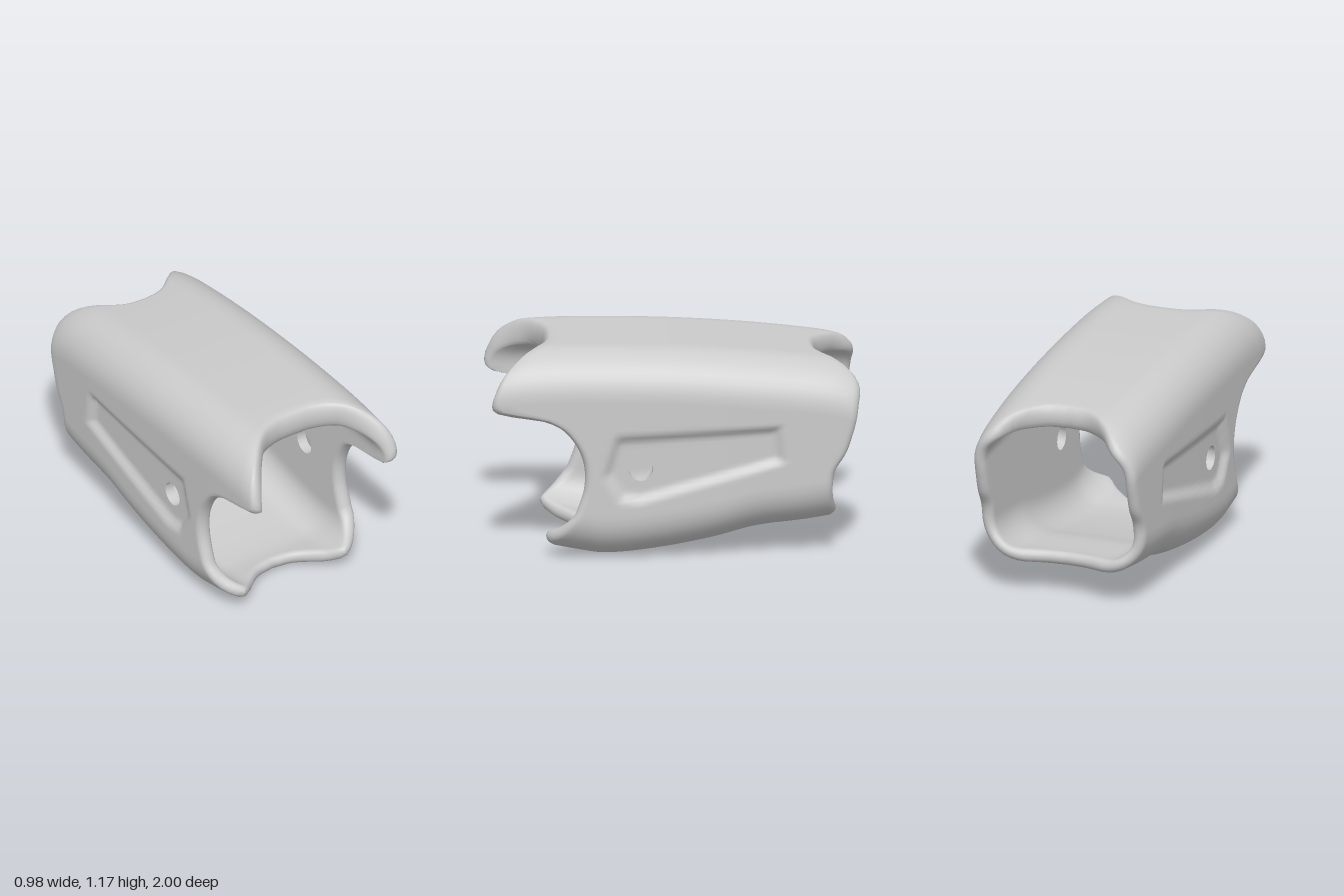
import * as THREE from 'three';
import { toCreasedNormals } from 'three/addons/utils/BufferGeometryUtils.js';

const { lerp, smoothstep } = THREE.MathUtils;

// Smooth curve through [x, y] keys (cubic Hermite)
function keyed(keys) {
  const slope = (i) => {
    const a = keys[Math.max(i - 1, 0)], b = keys[Math.min(i + 1, keys.length - 1)];
    return (b[1] - a[1]) / (b[0] - a[0]);
  };
  return (x) => {
    if (x <= keys[0][0]) return keys[0][1];
    if (x >= keys[keys.length - 1][0]) return keys[keys.length - 1][1];
    let i = 0;
    while (x > keys[i + 1][0]) i++;
    const [x0, y0] = keys[i], [x1, y1] = keys[i + 1], h = x1 - x0, t = (x - x0) / h;
    const t2 = t * t, t3 = t2 * t;
    return (2 * t3 - 3 * t2 + 1) * y0 + (t3 - 2 * t2 + t) * h * slope(i)
      + (3 * t2 - 2 * t3) * y1 + (t3 - t2) * h * slope(i + 1);
  };
}

// Side profile of the shell, along z
const topY = keyed([[-1, 1.03], [-0.9, 1.07], [-0.77, 1.095], [-0.4, 1.135], [0, 1.163], [0.4, 1.175], [0.7, 1.175], [1, 1.155]]);
const bottomY = keyed([[-0.87, 0.2], [-0.7, 0.175], [-0.5, 0.155], [-0.4, 0.138], [-0.2, 0.085], [0.1, 0.03], [0.38, 0.005], [0.55, 0.03], [0.7, 0.06]]);
const halfWidth = keyed([[-1, 0.47], [-0.5, 0.487], [0, 0.492], [0.5, 0.49], [1, 0.48]]);

// Scalloped ends. s runs over the half section:
// 0-1 top, 1-2 upper corner, 2-3 side, 3-4 lower corner, 4-5 bottom
const frontZ = keyed([[0, 0.7], [0.5, 0.71], [1, 0.765], [1.3, 0.86], [1.6, 0.95], [1.85, 0.99], [2.02, 1], [2.08, 0.96], [2.13, 0.84],
  [2.18, 0.72], [2.28, 0.61], [2.5, 0.515], [2.75, 0.5], [3, 0.55], [3.3, 0.62], [3.6, 0.69], [3.75, 0.7], [4, 0.63], [4.5, 0.53], [5, 0.5]]);
const backZ = keyed([[0, -0.77], [0.5, -0.79], [1, -0.88], [1.3, -0.98], [1.5, -1], [1.75, -0.99], [2, -0.98], [2.3, -0.955],
  [2.6, -0.92], [2.85, -0.865], [3, -0.85], [3.3, -0.85], [3.7, -0.87], [4, -0.85], [4.5, -0.81], [5, -0.795]]);

// Outline (z, y) of the wedge-shaped recess on each side
const recess = [[0.38, 0.5], [0.32, 0.7], [-0.55, 0.745], [-0.57, 0.57], [0.2, 0.36], [0.3, 0.37]];
function recessDepth(z, y) {
  let d = 1;
  recess.forEach(([az, ay], i) => {
    const [bz, by] = recess[(i + 1) % recess.length];
    const ez = bz - az, ey = by - ay;
    d = Math.min(d, (ez * (y - ay) - ey * (z - az)) / Math.hypot(ez, ey));
  });
  return 0.032 * smoothstep(d, -0.03, 0.03);
}

// Rounded-rectangle half section
function section(s, w, top, bottom, r) {
  const a = (s % 1) * Math.PI / 2;
  if (s < 1) return [s * (w - r), top];
  if (s < 2) return [w - r + r * Math.sin(a), top - r + r * Math.cos(a)];
  if (s < 3) return [w, lerp(top - r, bottom + r, s - 2)];
  if (s < 4) return [w - r + r * Math.cos(a), bottom + r - r * Math.sin(a)];
  return [(5 - s) * (w - r), bottom];
}

function outer(s, z) {
  let [x, y] = section(s, halfWidth(z), topY(z), bottomY(z), 0.25);
  if (s > 1.9 && s < 3.3) x -= recessDepth(z, y);
  if (s > 3.5) { // round dimple underneath
    const d = Math.hypot(x, z + 0.03);
    y += 0.03 * (1 - smoothstep(d, 0.12, 0.22)) + 0.03 * (1 - smoothstep(d, 0.05, 0.1));
  }
  return [x, y];
}

function inner(s, z) {
  const p = section(s, 0.405, 0.993 + 0.037 * z, bottomY(z) + 0.075, 0.16);
  // Line the inner wall up with the outer one so the holes go straight through
  if (s >= 2 && s < 3) {
    const o = section(s, 1, topY(z), bottomY(z), 0.25);
    p[1] = lerp(p[1], o[1], smoothstep(s, 2, 2.35) * (1 - smoothstep(s, 2.8, 3)));
  }
  return p;
}

function shellGeometry() {
  // Stations around the section, mirrored to the -x side
  const half = [];
  [10, 10, 28, 10, 10].forEach((n, k) => { for (let i = 0; i < n; i++) half.push(k + i / n); });
  const stations = [...half.map((s) => [s, 1]), [5, 1], ...half.slice(1).reverse().map((s) => [s, -1])];
  const S = stations.length;

  const CORE = 48, END = 6, RIM = 8, bulge = 0.035;
  const N = CORE + 1 + 2 * END, LOOP = 2 * N + 2 * (RIM - 1);
  const rowZ = (s, j) => {
    if (j < END) return lerp(backZ(s) + bulge, -0.7, j / END);
    if (j > END + CORE) return lerp(0.42, frontZ(s) - bulge, (j - END - CORE) / END);
    return lerp(-0.7, 0.42, (j - END) / CORE);
  };
  const innerRow = (j) => N + RIM - 1 + N - 1 - j;

  // Closed loops: outer wall, front rim, inner wall, back rim
  const pts = [];
  for (const [s, side] of stations) {
    const add = ([x, y], z) => pts.push([x * side, y, z]);
    const rim = (end, dir, from, to) => {
      for (let k = 1; k < RIM; k++) {
        const a = Math.PI * k / RIM, z = end + dir * bulge * (Math.sin(a) - 1);
        const p = from(s, z), q = to(s, z), t = (1 - Math.cos(a)) / 2;
        add([lerp(p[0], q[0], t), lerp(p[1], q[1], t)], z);
      }
    };
    for (let j = 0; j < N; j++) add(outer(s, rowZ(s, j)), rowZ(s, j));
    rim(frontZ(s), 1, outer, inner);
    for (let j = N - 1; j >= 0; j--) add(inner(s, rowZ(s, j)), rowZ(s, j));
    rim(backZ(s), -1, inner, outer);
  }
  const id = (i, j) => ((i + S) % S) * LOOP + (j + LOOP) % LOOP;
  const corners = (i, j) => [id(i, j), id(i, j + 1), id(i + 1, j + 1), id(i + 1, j)];

  // Round hole through each side wall
  const holeY = 0.53, holeZ = 0.195, holeR = 0.068;
  const cut = new Set(), open = [];
  for (let i = 0; i < S; i++) {
    if (stations[i][0] < 2.1 || stations[i][0] > 2.95) continue;
    for (let j = END; j < END + CORE; j++) {
      const q = corners(i, j).map((k) => pts[k]);
      const y = (q[0][1] + q[2][1]) / 2, z = (q[0][2] + q[2][2]) / 2;
      if (Math.hypot(y - holeY, z - holeZ) < holeR) {
        cut.add(id(i, j)).add(id(i, innerRow(j + 1)));
        open.push([i, j]);
      }
    }
  }
  const index = [];
  const quad = (a, b, c, d) => index.push(a, b, c, a, c, d);
  const snap = (k) => {
    const p = pts[k], dy = p[1] - holeY, dz = p[2] - holeZ, f = holeR / Math.hypot(dy, dz);
    p[1] = holeY + dy * f;
    p[2] = holeZ + dz * f;
  };
  for (const [i, j] of open) {
    const ring = [[i, j], [i, j + 1], [i + 1, j + 1], [i + 1, j]];
    const next = [[i - 1, j], [i, j + 1], [i + 1, j], [i, j - 1]];
    ring.forEach((a, k) => {
      if (cut.has(id(...next[k]))) return;
      const b = ring[(k + 1) % 4];
      const edge = [id(...a), id(...b), id(b[0], innerRow(b[1])), id(a[0], innerRow(a[1]))];
      edge.forEach(snap);
      quad(...edge);
    });
  }
  for (let i = 0; i < S; i++) {
    for (let j = 0; j < LOOP; j++) if (!cut.has(id(i, j))) quad(...corners(i, j));
  }

  const geo = new THREE.BufferGeometry();
  geo.setAttribute('position', new THREE.Float32BufferAttribute(pts.flat(), 3));
  geo.setIndex(index);
  return toCreasedNormals(geo, 0.8);
}

export function createModel() {
  const model = new THREE.Group();
  model.name = 'sleeve';
  const shell = new THREE.Mesh(shellGeometry(), new THREE.MeshStandardMaterial({ color: 0xcccccc }));
  shell.name = 'shell';
  model.add(shell);
  return model;
}
